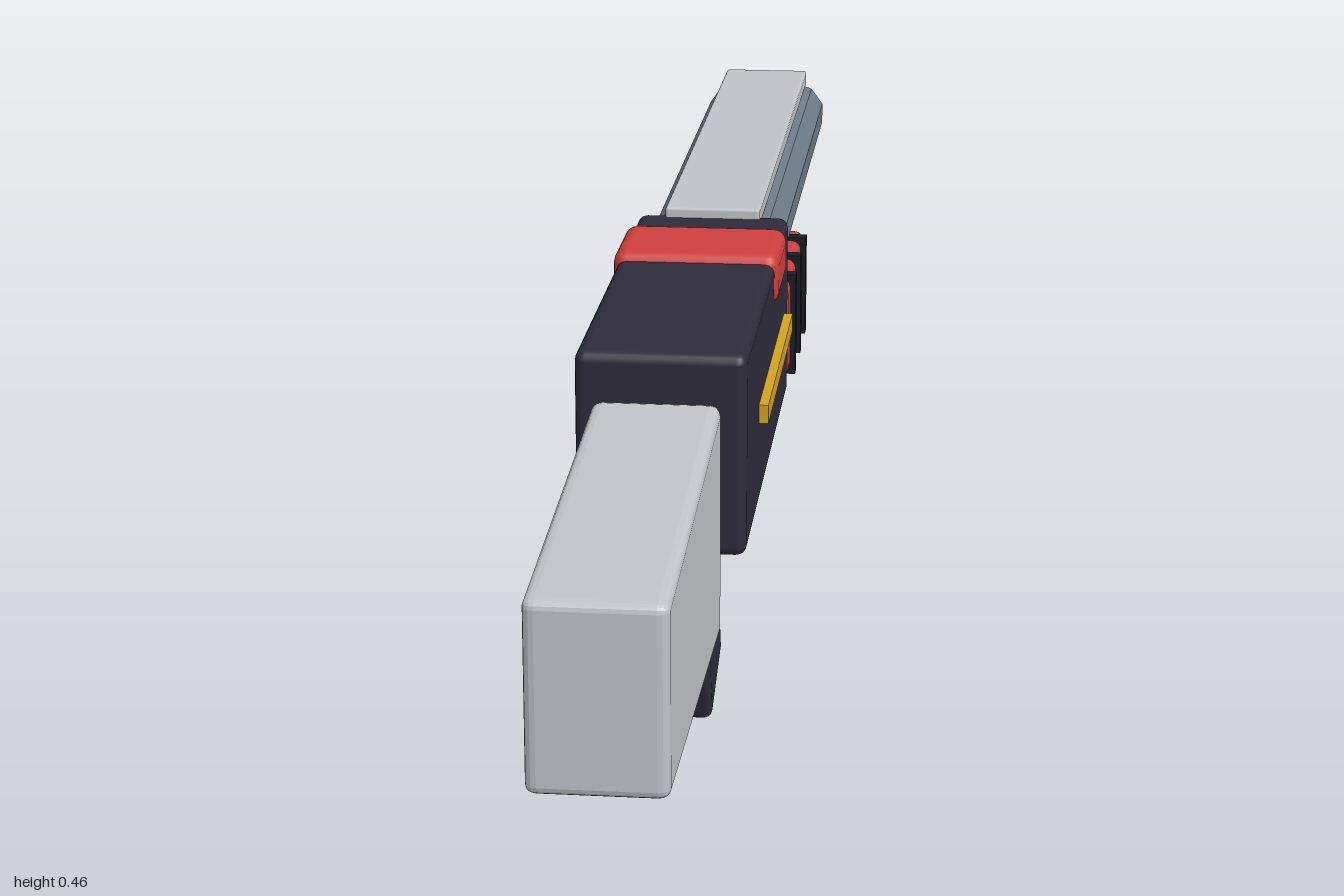
import * as THREE from 'three';
import { RoundedBoxGeometry } from 'three/addons/geometries/RoundedBoxGeometry.js';

const CX = -0.004; // centre line, offset by the strip on the left side

function material(name, color) {
  const m = new THREE.MeshStandardMaterial({ color });
  m.name = name;
  return m;
}

export function createModel() {
  const group = new THREE.Group();
  const dark = material('dark body', 0x2d2b3a);
  const black = material('black bands', 0x1b1c24);
  const red = material('red', 0xcf3d3d);
  const steel = material('steel', 0x6c7a88);
  const light = material('light grey', 0xbfc2c7);
  const gold = material('gold', 0xd4a31c);

  function add(name, geometry, mat) {
    const mesh = new THREE.Mesh(geometry, mat);
    mesh.name = name;
    group.add(mesh);
    return mesh;
  }

  // Box given by its half width and its y and z ranges
  function block(name, half, y0, y1, z0, z1, bevel, mat) {
    const size = [half * 2, y1 - y0, z1 - z0];
    const geometry = bevel
      ? new RoundedBoxGeometry(...size, 2, bevel)
      : new THREE.BoxGeometry(...size);
    const mesh = add(name, geometry, mat);
    mesh.position.set(CX, (y0 + y1) / 2, (z0 + z1) / 2);
    return mesh;
  }

  // Receiver with its saddle and side strip
  block('receiver', 0.095, 0.22, 0.453, -0.165, 0.45, 0.012, dark);
  block('saddle', 0.1, 0.4, 0.464, -0.072, 0.071, 0.016, red);
  const strip = block('sideStrip', 0.01, 0.323, 0.345, -0.096, 0.283, 0, gold);
  strip.position.x = 0.092;

  // Stock, tapering in height towards the butt
  const stock = block('stock', 0.0705, 0.141, 0.41, 0.48, 1, 0.012, light);
  const p = stock.geometry.attributes.position;
  for (let i = 0; i < p.count; i++) {
    const t = (p.getZ(i) + 0.26) / 0.52;
    p.setY(i, p.getY(i) * (1 - 0.26 * t));
  }
  stock.geometry.computeVertexNormals();

  // Slanted grip
  const grip = add('grip', new RoundedBoxGeometry(0.105, 0.265, 0.129, 2, 0.01), dark);
  grip.position.set(CX, 0.147, 0.384);
  grip.rotation.x = 0.35;

  // Twin barrels under a flat rail
  for (const side of [-1, 1]) {
    const geometry = new THREE.CylinderGeometry(0.046, 0.046, 0.88, 10).toNonIndexed();
    geometry.computeVertexNormals();
    const barrel = add(side > 0 ? 'leftBarrel' : 'rightBarrel', geometry, steel);
    barrel.rotation.x = Math.PI / 2;
    barrel.position.set(CX + side * 0.041, 0.401, -0.56);
  }
  block('topRail', 0.06, 0.443, 0.466, -1, -0.145, 0.004, light);

  // Fore-end with three bands
  block('foreEnd', 0.087, 0.2, 0.329, -0.58, -0.273, 0.014, red);
  for (const z of [-0.332, -0.428, -0.524]) {
    block('foreEndBand', 0.094, 0.196, 0.333, z - 0.01, z + 0.01, 0, black);
  }
  return group;
}
